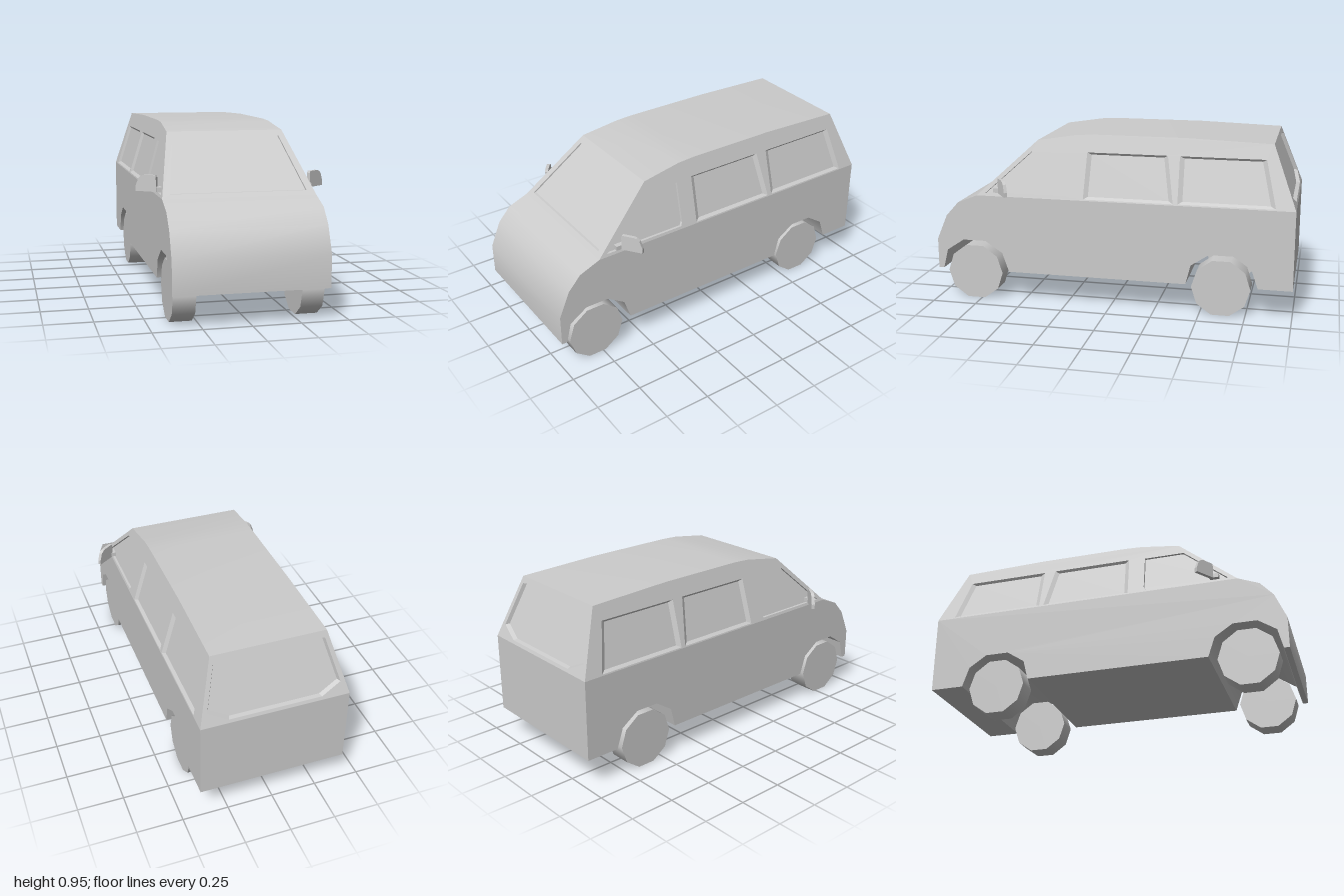
import * as THREE from 'three';
import { toCreasedNormals } from 'three/addons/utils/BufferGeometryUtils.js';

const grey = new THREE.MeshStandardMaterial({ color: 0xcccccc });
const BELT = 0.605;

// Half width of the body: upright below the belt line, leaning in above it
const halfWidth = y => 0.402 - Math.max(0, y - BELT) * 0.278;

// Side profile pieces as [z, y]
const nose = [[1, 0.17], [1, 0.34], [0.94, 0.48], [0.87, 0.558], [0.755, BELT]];
const roof = [[0.42, 0.915], [0.2, 0.95], [0.1, 0.955], [-0.4, 0.955], [-0.87, 0.94]];
const tail = [[-1, BELT], [-1, 0.17]];
const arch = c => [[-0.2, 0.17], [-0.163, 0.278], [-0.065, 0.343], [0.065, 0.343], [0.163, 0.278], [0.19, 0.17]]
  .map(([z, y]) => [c + z, y]);
const underside = [...arch(-0.615), ...arch(0.78)];

function makeMesh(name, positions, crease) {
  const geo = new THREE.BufferGeometry();
  geo.setAttribute('position', new THREE.Float32BufferAttribute(positions, 3));
  const mesh = new THREE.Mesh(toCreasedNormals(geo, crease), grey);
  mesh.name = name;
  return mesh;
}

// Skin stretched across the width along a run of profile points
function strip(name, profile) {
  const out = [];
  for (let i = 0; i < profile.length - 1; i++) {
    const [z0, y0] = profile[i], [z1, y1] = profile[i + 1];
    const w0 = halfWidth(y0), w1 = halfWidth(y1);
    out.push(-w0, y0, z0, w0, y0, z0, w1, y1, z1, -w0, y0, z0, w1, y1, z1, -w1, y1, z1);
  }
  return makeMesh(name, out, 0.7);
}

// Panel with recessed windows; place(a, b, depth) maps flat points into space.
// Each window is { points, depth, inset }, inset being the slope of its border.
function panel(name, outline, windows, place) {
  const out = [];
  const vec = p => new THREE.Vector2(p[0], p[1]);
  const fill = (shape, depth) => {
    const geo = new THREE.ShapeGeometry(shape).toNonIndexed();
    const pos = geo.attributes.position;
    for (let i = 0; i < pos.count; i++) out.push(...place(pos.getX(i), pos.getY(i), depth));
  };
  const shape = new THREE.Shape(outline.map(vec));
  for (const { points, depth, inset } of windows) {
    const rim = points.map(vec);
    if (THREE.ShapeUtils.isClockWise(rim)) rim.reverse();
    const centre = rim.reduce((s, p) => s.add(p), new THREE.Vector2()).divideScalar(rim.length);
    const pane = rim.map(p => p.clone().lerp(centre, inset));
    shape.holes.push(new THREE.Path(rim));
    rim.forEach((p, i) => {
      const j = (i + 1) % rim.length;
      const a = place(p.x, p.y, 0), b = place(rim[j].x, rim[j].y, 0);
      const c = place(pane[j].x, pane[j].y, depth), d = place(pane[i].x, pane[i].y, depth);
      out.push(...a, ...b, ...c, ...a, ...c, ...d);
    });
    fill(new THREE.Shape(pane), depth);
  }
  fill(shape, 0);
  return makeMesh(name, out, 0.3);
}

// Sloping end panel between two profile points, facing +z (dir 1) or -z (dir -1)
function endPanel(name, [z0, y0], [z1, y1], dir, window) {
  const w0 = halfWidth(y0), w1 = halfWidth(y1);
  return panel(name, [[-w0, y0], [w0, y0], [w1, y1], [-w1, y1]], [window], (a, b, depth) =>
    [dir * a, b, z0 + (z1 - z0) * (b - y0) / (y1 - y0) - dir * depth]);
}

function bodySide(s) {
  const group = new THREE.Group();
  group.name = s > 0 ? 'leftSide' : 'rightSide';
  const flat = pts => pts.map(([z, y]) => [-s * z, y]);
  const place = (a, b, depth) => [s * (halfWidth(b) - depth), b, -s * a];
  const windows = [
    { points: flat([[0.705, 0.62], [0.45, 0.853], [0.228, 0.853], [0.235, 0.64], [0.245, 0.62]]), depth: 0.012, inset: 0.01 },
    { points: flat([[0.145, 0.612], [0.135, 0.86], [-0.31, 0.86], [-0.35, 0.612]]), depth: 0.013, inset: 0.1 },
    { points: flat([[-0.375, 0.612], [-0.375, 0.86], [-0.835, 0.86], [-0.895, 0.612]]), depth: 0.013, inset: 0.1 },
  ];
  group.add(panel('lowerSide', flat([...nose, ...tail, ...underside]), [], place));
  group.add(panel('windowSide', flat([nose[4], ...roof, tail[0]]), windows, place));
  return group;
}

// Door mirror: a rounded plate swept back, on a short arm
function doorMirror(s) {
  const group = new THREE.Group();
  group.name = s > 0 ? 'leftMirror' : 'rightMirror';
  const outline = [[0.018, 0], [0.134, 0], [0.134, 0.025], [0.117, 0.068], [0.1, 0.081], [0.085, 0.085], [0.022, 0.085], [0.018, 0.075]];
  const plate = new THREE.ExtrudeGeometry(
    new THREE.Shape(outline.map(([x, y]) => new THREE.Vector2(s * x, y))), { depth: 0.018, bevelEnabled: false });
  plate.translate(0, 0, -0.009).rotateY(s * 0.63).translate(s * 0.391, 0.625, 0.63);
  const head = new THREE.Mesh(plate, grey);
  head.name = 'mirrorHead';
  const arm = new THREE.Mesh(new THREE.BoxGeometry(0.028, 0.024, 0.05).translate(s * 0.396, 0.639, 0.63), grey);
  arm.name = 'mirrorArm';
  group.add(head, arm);
  return group;
}

export function createModel() {
  const model = new THREE.Group();
  model.name = 'van';

  // Body skin
  model.add(strip('nose', nose));
  model.add(strip('roof', roof));
  model.add(strip('tailgate', tail));
  model.add(strip('underside', [tail[1], ...underside, nose[0]]));

  // Front and rear screens
  model.add(endPanel('windscreen', nose[4], roof[0], 1,
    { points: [[-0.357, 0.625], [0.357, 0.625], [0.289, 0.886], [-0.289, 0.886]], depth: 0.012, inset: 0.006 }));
  model.add(endPanel('rearScreen', tail[0], roof[4], -1,
    { points: [[-0.25, 0.622], [0.25, 0.622], [0.357, 0.675], [0.295, 0.905], [0.22, 0.917], [-0.22, 0.917], [-0.295, 0.905], [-0.357, 0.675]], depth: 0.02, inset: 0.03 }));

  // Sides, mirrors and wheels
  const tyre = new THREE.CylinderGeometry(0.161, 0.161, 0.117, 10).rotateZ(Math.PI / 2);
  for (const s of [1, -1]) {
    model.add(bodySide(s), doorMirror(s));
    for (const [name, z] of [['frontWheel', 0.785], ['rearWheel', -0.615]]) {
      const wheel = new THREE.Mesh(tyre, grey);
      wheel.name = name;
      wheel.position.set(s * 0.329, 0.154, z);
      model.add(wheel);
    }
  }
  return model;
}
